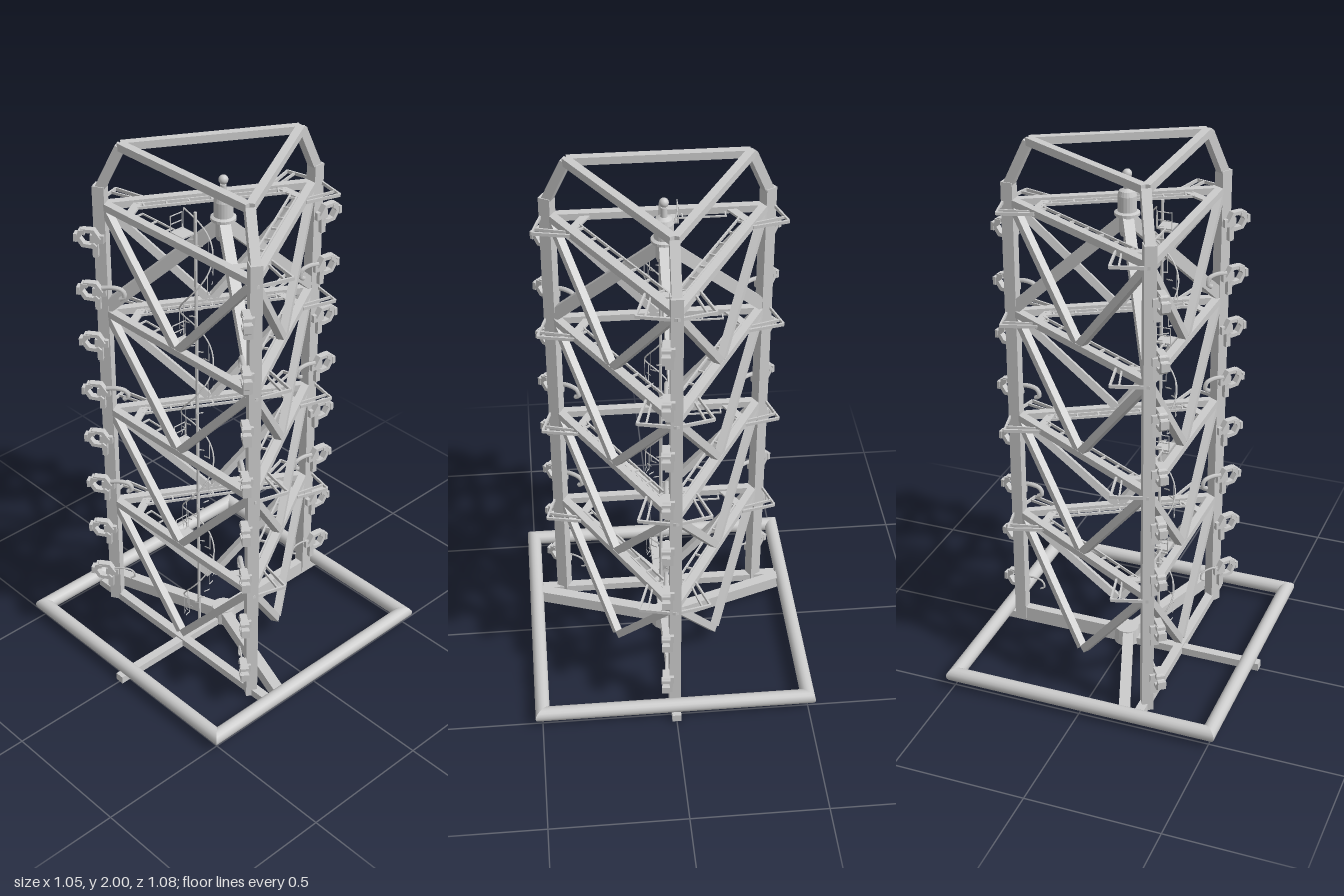
import * as THREE from 'three';

const mat = new THREE.MeshStandardMaterial({ color: 0xcccccc, flatShading: true });
const smooth = new THREE.MeshStandardMaterial({ color: 0xcccccc, side: THREE.DoubleSide });
const V = (x, y, z) => new THREE.Vector3(x, y, z);
const R = 0.444;                                  // column distance from the axis
const LEVELS = [0.485, 0.907, 1.33, 1.755];
const THIRD = Math.PI * 2 / 3;

function add(parent, name, geo, x = 0, y = 0, z = 0, m = mat) {
  const mesh = new THREE.Mesh(geo, m);
  mesh.name = name;
  mesh.position.set(x, y, z);
  parent.add(mesh);
  return mesh;
}
const box = (parent, name, w, h, d, x, y, z) => add(parent, name, new THREE.BoxGeometry(w, h, d), x, y, z);

// Square bar between two points
function beam(parent, name, a, b, w, h = w) {
  const mesh = box(parent, name, w, h, a.distanceTo(b), 0, 0, 0);
  mesh.position.copy(a).lerp(b, 0.5);
  mesh.lookAt(b);
  return mesh;
}
function tube(parent, name, points, r, steps = 12, sides = 5) {
  const curve = new THREE.CatmullRomCurve3(points);
  return add(parent, name, new THREE.TubeGeometry(curve, steps, r, sides), 0, 0, 0, smooth);
}
function group(parent, name) {
  const g = new THREE.Group();
  g.name = name;
  parent.add(g);
  return g;
}

// Six-sided claw with a gap, lying in the radial plane
function clawGeometry() {
  const shape = new THREE.Shape();
  const pt = (deg, k) => {
    const a = THREE.MathUtils.degToRad(deg);
    return new THREE.Vector2(Math.cos(a) * 0.046 * k, Math.sin(a) * 0.04 * k);
  };
  const angles = [-135, -110, -60, 0, 60, 120, 180];
  shape.setFromPoints([...angles.map(a => pt(a, 1)), ...angles.slice().reverse().map(a => pt(a, 0.62))]);
  const geo = new THREE.ExtrudeGeometry(shape, { depth: 0.026, bevelEnabled: false });
  return geo.translate(0, 0, -0.013).rotateY(Math.PI / 2);
}

// One column, built at the back (-z) and later turned into place
function column(parent, clampSide, walkwaySides) {
  const g = group(parent, 'column');
  box(g, 'columnPost', 0.042, 1.82, 0.044, 0, 0.92, -R);
  beam(g, 'bentTop', V(0, 1.815, -R), V(0, 1.985, -0.362), 0.034);
  beam(g, 'innerStrut', V(0, 1.35, -R + 0.01), V(0, 1.745, -0.01), 0.038, 0.044);

  // Clamps on brackets, every second one with a long inward hook
  const claw = clawGeometry();
  for (let i = 0; i < 8; i++) {
    const c = group(g, 'clamp');
    c.position.set(clampSide * 0.036, 0.16 + i * 0.2115, -0.48);
    c.rotation.y = -clampSide * 0.1;
    add(c, 'claw', claw);
    box(c, 'bracket', 0.034, 0.03, 0.05, -clampSide * 0.012, -0.005, 0.03);
    box(c, 'bracketFoot', 0.03, 0.06, 0.02, -clampSide * 0.01, -0.045, 0.024);
    box(c, 'jawPad', 0.032, 0.016, 0.024, 0, 0.022, -0.022);
    box(c, 'clawTip', 0.03, 0.03, 0.012, 0, 0, -0.045);
    if (i % 2 === 0) {
      tube(c, 'hook', [V(0, 0.012, 0.04), V(0, 0.018, 0.08), V(0, 0.01, 0.115), V(0, -0.015, 0.122),
        V(0, -0.026, 0.105)], i === 0 ? 0.004 : 0.009);
    }
  }

  // Outer walkway frames around the column
  for (const y of LEVELS) for (const s of walkwaySides) {
    const pts = [V(0, y, -0.465), V(s * 0.13, y, -0.435), V(s * 0.09, y, -0.31), V(s * 0.05, y, -0.31)];
    for (let i = 0; i < 3; i++) beam(g, 'walkwayRail', pts[i], pts[i + 1], 0.007, 0.012);
    beam(g, 'walkwayRail', V(s * 0.1, y, -0.442), V(s * 0.068, y, -0.31), 0.006, 0.01);
  }
  for (const y of LEVELS) box(g, 'cornerPlate', 0.12, 0.008, 0.03, 0, y, -0.322);
  return g;
}

// One side of the tower, built at the front (+z)
function face(parent, walkway) {
  const g = group(parent, 'towerSide');
  const z = 0.216;
  LEVELS.forEach((y, i) => {
    const low = i ? LEVELS[i - 1] + 0.01 : 0.06;
    box(g, 'girder', 0.76, 0.026, 0.03, 0, y, z);
    for (const s of [-1, 1]) beam(g, 'diagonal', V(s * 0.36, y - 0.02, z), V(s * 0.008, low, z), 0.028);
    if (!walkway) return;
    // Ladder-like inner walkway
    for (const az of [0.165, 0.192]) box(g, 'walkwayBeam', 0.54, 0.01, 0.006, 0, y, az);
    for (let k = -3; k <= 3; k++) box(g, 'walkwayRung', 0.006, 0.008, 0.028, k * 0.08, y, 0.179);
  });
  box(g, 'topBar', 0.625, 0.028, 0.03, 0, 1.986, 0.183);
  return g;
}

function base(parent) {
  const g = group(parent, 'base');
  for (const s of [-1, 1]) for (const turn of [0, 1]) {
    // Side tubes with mitred ends
    const geo = new THREE.CylinderGeometry(0.027, 0.027, 1, 16, 1);
    const p = geo.attributes.position;
    for (let i = 0; i < p.count; i++) p.setY(i, Math.sign(p.getY(i)) * (0.499 + s * p.getX(i)));
    geo.rotateX(Math.PI / 2).translate(s * 0.499, 0.047, 0).rotateY(turn * Math.PI / 2);
    add(g, 'ringTube', geo, 0, 0, 0, smooth);
  }
  box(g, 'keelBeam', 0.034, 0.03, 1.075, 0, 0.015, 0);
  box(g, 'frontBeam', 0.97, 0.03, 0.034, 0, 0.022, 0.216);
  for (const s of [-1, 1]) beam(g, 'baseArm', V(0, 0.035, 0.005), V(s * 0.485, 0.035, 0.172), 0.04, 0.05);
  beam(g, 'baseArm', V(0, 0.035, 0), V(0, 0.035, -R), 0.034, 0.05);
  add(g, 'baseHub', new THREE.CylinderGeometry(0.045, 0.05, 0.06, 16), 0, 0.035, 0);
}

// Hub carried by the three inner struts, with a capped finial
function hub(parent) {
  const profile = [[0, 1.69], [0.024, 1.69], [0.03, 1.71], [0.03, 1.765], [0.045, 1.765], [0.045, 1.775], [0.034, 1.78],
    [0.034, 1.835], [0.028, 1.852], [0.012, 1.86], [0.011, 1.895], [0, 1.895]].map(q => new THREE.Vector2(...q));
  add(parent, 'centreHub', new THREE.LatheGeometry(profile, 20), 0, 0, 0, mat);
  add(parent, 'finialBall', new THREE.SphereGeometry(0.017, 14, 10), 0, 1.912, 0, smooth);
}

function spiralStair(parent) {
  const g = group(parent, 'spiralStair');
  g.position.set(0, 0, 0.128);
  const r = 0.058, perTurn = 16, rise = 0.4225 / perTurn, y0 = 0.065, count = perTurn * 4;
  add(g, 'stairPole', new THREE.CylinderGeometry(0.006, 0.006, 1.77, 8), 0, y0 + 0.885, 0);

  const wedge = new THREE.Shape();
  wedge.moveTo(0, 0);
  wedge.absarc(0, 0, r, 0, Math.PI * 2 / perTurn * 1.1, false);
  const step = new THREE.ExtrudeGeometry(wedge, { depth: 0.005, bevelEnabled: false, curveSegments: 3 });
  step.rotateX(-Math.PI / 2);
  const post = new THREE.CylinderGeometry(0.0016, 0.0016, 0.075, 4);
  const rail = [];
  for (let i = 0; i <= count; i++) {
    const a = i / perTurn * Math.PI * 2 + Math.PI, y = y0 + i * rise;
    const x = Math.cos(a) * r, z = -Math.sin(a) * r;
    add(g, 'step', step, 0, y, 0).rotation.y = a;
    if (i % 2 === 0) add(g, 'railPost', post, x, y + 0.0375, z);
    rail.push(V(x, y + 0.075, z));
  }
  tube(g, 'handrail', rail, 0.003, 256, 5);
  // Landings joining the stair to each level
  for (const y of LEVELS) {
    box(g, 'landing', 0.063, 0.006, 0.055, -0.032, y, 0.03);
    for (const h of [0.03, 0.06]) box(g, 'landingRail', 0.003, 0.003, 0.055, -0.062, y + h, 0.03);
    for (const z of [0.004, 0.056]) box(g, 'landingPost', 0.003, 0.06, 0.003, -0.062, y + 0.03, z);
    box(g, 'landingBridge', 0.17, 0.006, 0.005, -0.148, y, 0.034);
    for (const x of [-0.08, -0.155, -0.23]) box(g, 'landingBridge', 0.005, 0.006, 0.03, x, y, 0.047);
  }
}

export function createModel() {
  const model = new THREE.Group();
  model.name = 'towerFrame';
  base(model);
  column(model, 1, [-1, 1]);
  column(model, -1, [1]).rotation.y = THIRD;
  column(model, 1, [-1]).rotation.y = -THIRD;
  face(model, false);
  face(model, true).rotation.y = THIRD;
  face(model, true).rotation.y = -THIRD;
  hub(model);
  spiralStair(model);
  return model;
}
